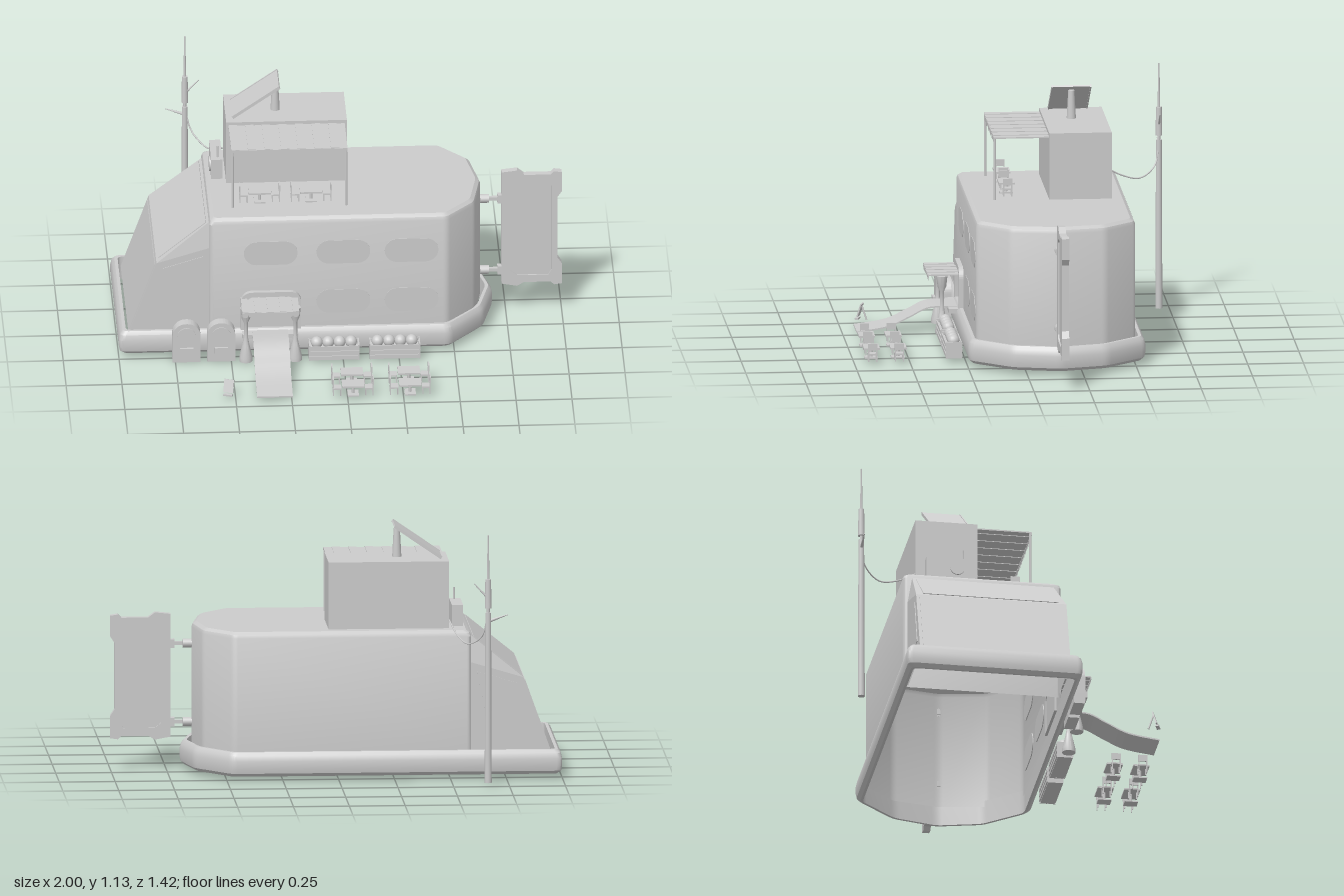
import * as THREE from 'three';
import { toCreasedNormals } from 'three/addons/utils/BufferGeometryUtils.js';

const solid = new THREE.MeshStandardMaterial({ color: 0xcccccc });
const shell = new THREE.MeshStandardMaterial({ color: 0xcccccc, side: THREE.DoubleSide });
const V = (x, y, z) => new THREE.Vector3(x, y, z);

function add(parent, name, geo, x = 0, y = 0, z = 0, mat = solid) {
  const m = new THREE.Mesh(geo, mat);
  m.name = name;
  m.position.set(x, y, z);
  parent.add(m);
  return m;
}
const box = (p, name, w, h, d, x, y, z) => add(p, name, new THREE.BoxGeometry(w, h, d), x, y, z);
const cyl = (p, name, rt, rb, h, x, y, z, n = 12) => add(p, name, new THREE.CylinderGeometry(rt, rb, h, n), x, y, z);
function group(parent, name, x = 0, y = 0, z = 0) {
  const g = new THREE.Group();
  g.name = name;
  g.position.set(x, y, z);
  parent.add(g);
  return g;
}
// tapered rod between two points
function rod(p, name, a, b, ra, rb) {
  const m = cyl(p, name, rb, ra, a.distanceTo(b), 0, 0, 0, 8);
  m.position.copy(a).add(b).multiplyScalar(0.5);
  m.quaternion.setFromUnitVectors(V(0, 1, 0), b.clone().sub(a).normalize());
  return m;
}
const polygon = (pts) => new THREE.Shape(pts.map(([x, y]) => new THREE.Vector2(x, y)));
const extrude = (shape, depth) =>
  toCreasedNormals(new THREE.ExtrudeGeometry(shape, { depth, bevelEnabled: false, curveSegments: 12 }), 0.5);

// inset a plan outline by d, then round its corners by r
function outline(pts, d, r) {
  const v = pts.map((p) => new THREE.Vector2(...p)), n = v.length;
  const inward = (a, b) => { const e = b.clone().sub(a).normalize(); return new THREE.Vector2(-e.y, e.x); };
  const o = v.map((p, i) => {
    const n1 = inward(v[(i + n - 1) % n], p), n2 = inward(p, v[(i + 1) % n]);
    return p.clone().addScaledVector(n1.clone().add(n2), d / (1 + n1.dot(n2)));
  });
  return o.flatMap((p, i) => {
    const toward = (q) => p.clone().add(q.clone().sub(p).setLength(r));
    return new THREE.QuadraticBezierCurve(toward(o[(i + n - 1) % n]), p, toward(o[(i + 1) % n])).getPoints(4);
  });
}
// sweep an [inset, y] profile round a plan outline
function loft(pts, profile, r, cap) {
  const pos = [], idx = [];
  let n = 0;
  for (const [d, y] of profile) {
    const ring = outline(pts, d, r);
    n = ring.length;
    ring.forEach((p) => pos.push(p.x, y, p.y));
  }
  for (let i = 0; i < profile.length - 1; i++)
    for (let k = 0; k < n; k++) {
      const a = i * n + k, b = i * n + (k + 1) % n;
      idx.push(a, a + n, b + n, a, b + n, b);
    }
  const last = (profile.length - 1) * n;
  if (cap) for (let k = 1; k < n - 1; k++) idx.push(last, last + k + 1, last + k);
  const g = new THREE.BufferGeometry();
  g.setAttribute('position', new THREE.Float32BufferAttribute(pos, 3));
  g.setIndex(idx);
  return toCreasedNormals(g, 0.5);
}
// flat faces, each a fan of corners
function faces(list) {
  const pos = [];
  for (const f of list)
    for (let k = 1; k < f.length - 1; k++) pos.push(...f[0], ...f[k], ...f[k + 1]);
  const g = new THREE.BufferGeometry();
  g.setAttribute('position', new THREE.Float32BufferAttribute(pos, 3));
  g.computeVertexNormals();
  return g;
}
// arch with its foot on y = 0; r is the corner radius
function arch(w, h, r) {
  const s = new THREE.Shape();
  s.moveTo(-w / 2, 0).lineTo(w / 2, 0).lineTo(w / 2, h - r);
  s.absarc(w / 2 - r, h - r, r, 0, Math.PI / 2).absarc(-w / 2 + r, h - r, r, Math.PI / 2, Math.PI);
  return s;
}
function stadium(w, h) {
  const s = new THREE.Shape(), r = h / 2;
  s.absarc(w / 2 - r, 0, r, -Math.PI / 2, Math.PI / 2).absarc(-w / 2 + r, 0, r, Math.PI / 2, Math.PI * 1.5);
  return s;
}
// striped canopy with a scalloped front edge
function canopy(parent, name, x0, x1, y, z0, z1, n) {
  const g = group(parent, name), w = (x1 - x0) / n;
  for (let i = 0; i < n; i++) {
    const x = x0 + w * (i + 0.5);
    box(g, 'canopyStripe', w, 0.006, z1 - z0, x, y - (i % 2) * 0.003, (z0 + z1) / 2);
    box(g, 'valance', w, 0.012, 0.004, x, y - 0.006, z1);
    add(g, 'scallop', new THREE.CircleGeometry(w / 2, 8, Math.PI, Math.PI), x, y - 0.012, z1, shell);
  }
}
// table with a chair at each end
function diningSet(parent, x, y, z) {
  const g = group(parent, 'diningSet', x, y, z);
  box(g, 'tableTop', 0.1, 0.008, 0.072, 0, 0.05, 0);
  box(g, 'tableFoot', 0.05, 0.006, 0.06, 0, 0.003, 0);
  cyl(g, 'tableStem', 0.007, 0.007, 0.05, 0, 0.025, 0, 8);
  for (const s of [-1, 1]) {
    const c = group(g, 'chair', s * 0.072, 0, 0);
    box(c, 'chairSeat', 0.038, 0.007, 0.042, 0, 0.034, 0);
    box(c, 'chairBack', 0.006, 0.03, 0.042, s * 0.017, 0.067, 0);
    for (const lx of [-1, 1]) for (const lz of [-1, 1])
      box(c, 'chairLeg', 0.005, lx === s ? 0.06 : 0.034, 0.005, lx * 0.016, lx === s ? 0.03 : 0.017, lz * 0.018);
  }
}

export function createModel() {
  const root = new THREE.Group();
  root.name = 'mobileDiner';

  // hollow base skirt and open-bottomed main hull
  add(root, 'baseSkirt', loft(
    [[-1, -0.545], [0.48, -0.545], [0.64, -0.36], [0.692, -0.148], [0.64, 0.065], [0.48, 0.25], [-1, 0.25]],
    [[0.02, 0.02], [0.004, 0.035], [0, 0.055], [0, 0.09], [0.006, 0.115], [0.018, 0.13], [0.032, 0.13], [0.032, 0.02], [0.02, 0.02]],
    0.025, false), 0, 0, 0, shell);
  add(root, 'hull', loft(
    [[-0.595, -0.5], [0.47, -0.5], [0.6, -0.355], [0.637, -0.1425], [0.6, 0.07], [0.47, 0.215], [-0.595, 0.215]],
    [[0, 0.1], [0, 0.64], [0.006, 0.655], [0.022, 0.667]], 0.02, true), 0, 0, 0, shell);

  // sloping cab, open below
  const zc = -0.14, A = [], P = [[-0.955, 0.1, 0.34], [-0.83, 0.45, 0.34], [-0.595, 0.52, 0.34], [-0.595, 0.1, 0.34], [-0.595, 0.64, 0.32]];
  for (const s of [1, -1]) A.push(P.map(([x, y, z]) => [x, y, zc + s * z]));
  const [[a, b, c, d, e], [a2, b2, c2, d2, e2]] = A;
  add(root, 'cab', faces([[a, b, b2, a2], [b, e, e2, b2], [a, d, c, b], [b, c, e], [a2, b2, c2, d2], [b2, e2, c2]]), 0, 0, 0, shell);
  const pane = (name, x0, y0, x1, y1, w) => {
    const m = box(root, name, Math.hypot(x1 - x0, y1 - y0) - 0.03, 0.006, w, (x0 + x1) / 2, (y0 + y1) / 2, zc);
    m.rotation.z = Math.atan2(y1 - y0, x1 - x0);
  };
  pane('nosePanel', -0.955, 0.1, -0.83, 0.45, 0.65);
  pane('windscreen', -0.83, 0.45, -0.595, 0.64, 0.61);
  const sidePane = extrude(polygon([[-0.87, 0.2], [-0.68, 0.2], [-0.62, 0.48], [-0.8, 0.425]]), 0.004);
  for (const z of [0.199, -0.483]) add(root, 'cabSidePanel', sidePane, 0, 0, z);

  // oval windows in the front wall
  const oval = extrude(stadium(0.24, 0.115), 0.006);
  for (const [x, y] of [[-0.32, 0.495], [0.005, 0.495], [0.31, 0.495], [0.005, 0.25], [0.31, 0.25]])
    add(root, 'window', oval, x, y, 0.211);

  // doorway, canopy and ramp
  const frame = arch(0.27, 0.21, 0.05);
  frame.holes.push(new THREE.Path(arch(0.22, 0.185, 0.035).getPoints(10).map((p) => p.add(new THREE.Vector2(0, 0.002)))));
  add(root, 'doorFrame', extrude(frame, 0.03), -0.32, 0.1, 0.206);
  add(root, 'door', extrude(arch(0.22, 0.185, 0.035), 0.006), -0.32, 0.1, 0.211);
  box(root, 'doorStep', 0.25, 0.02, 0.06, -0.325, 0.112, 0.25);
  canopy(root, 'doorCanopy', -0.455, -0.2, 0.278, 0.22, 0.372, 9);
  const path = new THREE.SplineCurve([[0.22, 0.122], [0.36, 0.125], [0.45, 0.085], [0.55, 0.04], [0.69, 0.018]].map((p) => new THREE.Vector2(...p)));
  const top = path.getPoints(24), under = top.map((p) => new THREE.Vector2(p.x, p.y - 0.007)).reverse();
  add(root, 'ramp', extrude(new THREE.Shape([...top, ...under]), 0.16).rotateY(-Math.PI / 2), -0.245);
  const lamp = [[0.0, 0.01], [0.03, 0.01], [0.03, 0.03], [0.016, 0.09], [0.009, 0.13], [0.009, 0.2], [0.02, 0.225], [0.025, 0.272], [0, 0.272]];
  for (const x of [-0.436, -0.215])
    add(root, 'lampStand', toCreasedNormals(new THREE.LatheGeometry(lamp.map((p) => new THREE.Vector2(...p)), 14), 0.6), x, 0, 0.31);

  // arched cabinets beside the cab
  for (const x of [-0.7, -0.545]) {
    const g = group(root, 'archedCabinet', x, 0, 0.245);
    add(g, 'cabinetBody', extrude(arch(0.125, 0.19, 0.06), 0.05));
    add(g, 'cabinetFace', extrude(arch(0.085, 0.15, 0.042), 0.008), 0, 0.02, 0.047);
    box(g, 'cabinetTray', 0.06, 0.03, 0.02, 0, 0.06, 0.057);
  }

  // slatted crates of round produce
  for (const x of [-0.042, 0.23]) {
    const g = group(root, 'produceCrate', x, 0, 0.303);
    box(g, 'crateBody', 0.215, 0.06, 0.065, 0, 0.045, 0);
    for (const y of [0.028, 0.052, 0.076]) for (const s of [-1, 1]) box(g, 'crateSlat', 0.225, 0.016, 0.005, 0, y, s * 0.035);
    for (const sx of [-1, 1]) box(g, 'crateEnd', 0.006, 0.075, 0.072, sx * 0.11, 0.052, 0);
    for (let i = 0; i < 4; i++) add(g, 'produce', new THREE.SphereGeometry(0.027, 16, 10), (i - 1.5) * 0.051, 0.09, 0);
  }

  // dining sets on the ground and on the roof
  for (const x of [0.025, 0.28]) for (const z of [0.55, 0.67]) diningSet(root, x, 0.012, z);
  for (const x of [-0.36, -0.13]) diningSet(root, x, 0.667, 0.03);

  // small leaning notice board
  const board = group(root, 'noticeBoard', -0.53, 0.01, 0.65);
  board.rotation.y = -0.35;
  box(board, 'boardPanel', 0.045, 0.06, 0.006, 0, 0.045, 0).rotation.x = -0.3;
  rod(board, 'boardProp', V(0, 0, -0.03), V(0, 0.065, -0.008), 0.004, 0.004);
  box(board, 'boardFoot', 0.04, 0.008, 0.015, 0, 0.006, 0.012);

  // rooftop cabin with canopy
  box(root, 'roofCabin', 0.54, 0.305, 0.28, -0.23, 0.817, -0.29);
  canopy(root, 'roofCanopy', -0.49, 0.03, 0.953, -0.15, 0.097, 14);
  for (const x of [-0.484, 0.024]) cyl(root, 'canopyPost', 0.006, 0.006, 0.285, x, 0.808, 0.093, 8);

  // tilted solar panel
  cyl(root, 'panelPost', 0.014, 0.021, 0.13, -0.275, 1.032, -0.275);
  const solar = group(root, 'solarPanel', -0.365, 1.047, -0.275);
  solar.rotation.z = Math.atan2(0.145, 0.21);
  box(solar, 'panelSheet', 0.255, 0.008, 0.175, 0, 0, 0);
  for (const s of [-1, 1]) box(solar, 'panelRim', 0.255, 0.014, 0.006, 0, 0, s * 0.086);

  // roof fan unit
  const fan = group(root, 'fanUnit', -0.54, 0.667, -0.29);
  box(fan, 'fanHousing', 0.05, 0.095, 0.2, 0, 0.05, 0);
  cyl(fan, 'fanRing', 0.033, 0.033, 0.01, -0.027, 0.05, 0.04, 20).rotation.z = Math.PI / 2;
  cyl(fan, 'fanAerial', 0.004, 0.005, 0.06, 0.005, 0.122, 0.07, 8);

  // mast with spikes and its slack cable
  const mast = group(root, 'mast', -0.657, 0, -0.7);
  cyl(mast, 'mastPole', 0.013, 0.016, 0.77, 0, 0.395, 0);
  cyl(mast, 'mastNeck', 0.007, 0.007, 0.04, 0, 0.79, 0);
  cyl(mast, 'mastHead', 0.013, 0.015, 0.13, 0, 0.865, 0);
  cyl(mast, 'mastTip', 0.003, 0.006, 0.2, 0, 1.03, 0, 8);
  rod(mast, 'leftSpike', V(0, 0.74, 0), V(-0.088, 0.77, 0), 0.008, 0.002);
  rod(mast, 'rightSpike', V(0, 0.845, 0), V(0.062, 0.91, 0), 0.006, 0.002);
  const slack = [V(-0.5, 0.705, -0.43), V(-0.53, 0.65, -0.52), V(-0.575, 0.625, -0.61), V(-0.63, 0.67, -0.68), V(-0.657, 0.77, -0.7)];
  add(root, 'cable', new THREE.TubeGeometry(new THREE.CatmullRomCurve3(slack), 32, 0.0035, 6));

  // framed hanging board at the pointed end
  const rim = polygon([[0.73, 0.145], [0.8, 0.132], [0.83, 0.15], [0.95, 0.15], [0.965, 0.135], [1, 0.14], [1, 0.24], [0.98, 0.27],
    [0.98, 0.57], [1, 0.6], [1, 0.695], [0.965, 0.7], [0.95, 0.685], [0.83, 0.685], [0.8, 0.708], [0.73, 0.7]]);
  const well = [[0.77, 0.21], [0.8, 0.185], [0.94, 0.185], [0.955, 0.21], [0.955, 0.63], [0.94, 0.655], [0.8, 0.655], [0.77, 0.63]];
  rim.holes.push(polygon(well));
  add(root, 'signFrame', extrude(rim, 0.032), 0, 0, -0.158);
  add(root, 'signPanel', extrude(polygon(well), 0.018), 0, 0, -0.151);
  for (const y of [0.565, 0.21]) {
    box(root, 'signArm', 0.11, 0.016, 0.016, 0.685, y, -0.142);
    cyl(root, 'signSocket', 0.02, 0.02, 0.04, 0.655, y, -0.142).rotation.z = Math.PI / 2;
    box(root, 'signClamp', 0.02, 0.04, 0.03, 0.722, y, -0.142);
  }
  return root;
}
